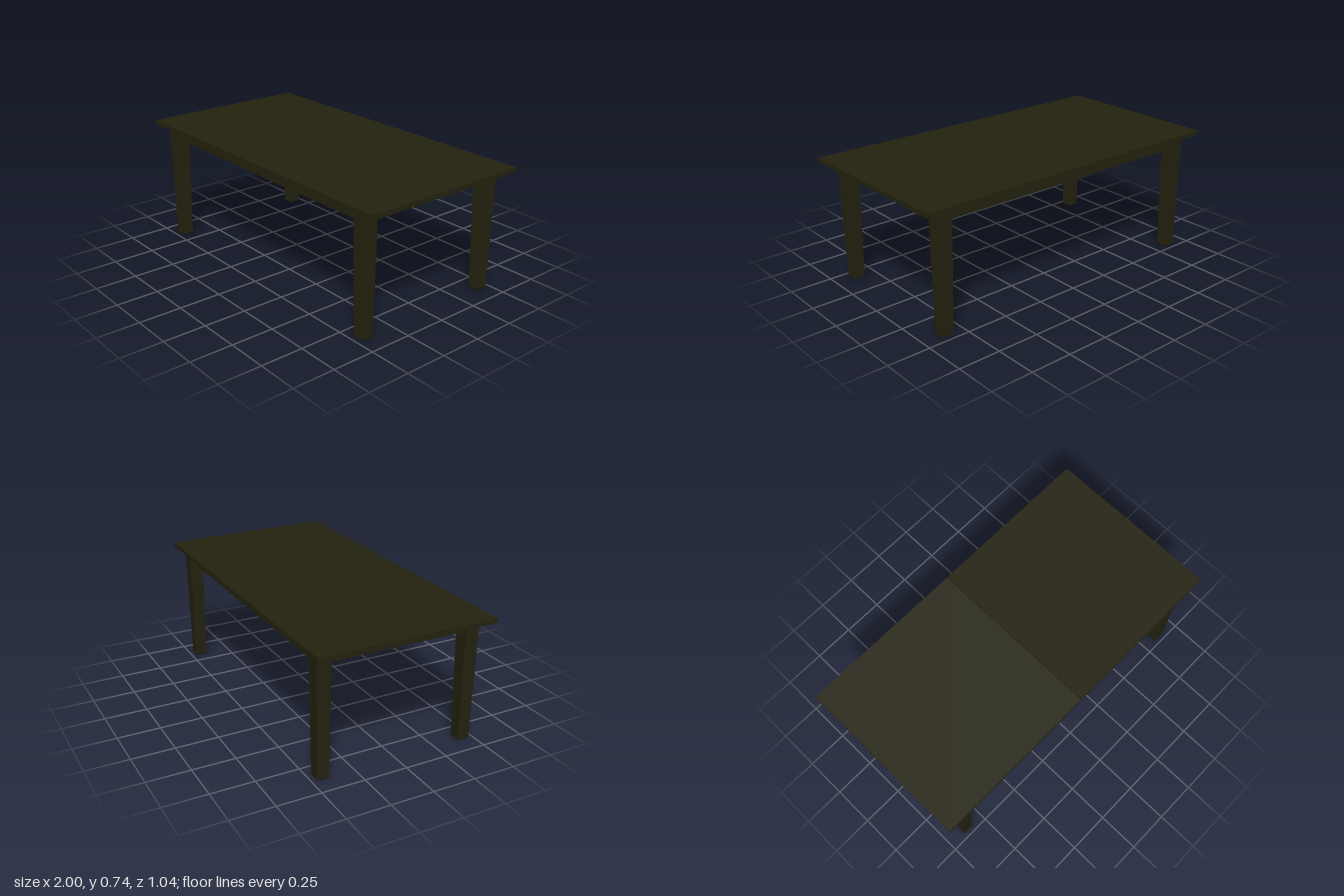
import * as THREE from 'three';

export function createModel() {
  const model = new THREE.Group();
  const wood = new THREE.MeshStandardMaterial({ color: 0x24220f });
  wood.name = 'darkWood';

  const add = (name, geometry, x, y, z) => {
    const mesh = new THREE.Mesh(geometry, wood);
    mesh.name = name;
    mesh.position.set(x, y, z);
    model.add(mesh);
    return mesh;
  };
  const box = (name, w, h, d, x, y, z) => add(name, new THREE.BoxGeometry(w, h, d), x, y, z);

  // Square leg narrowing to the floor, with a small chamfer at the foot
  const legGeometry = () => {
    const rings = [[0.031, 0], [0.034, 0.005], [0.0425, 0.718]];
    const profile = [[0, 0], ...rings, [0, 0.718]].map(([r, y]) => new THREE.Vector2(r * Math.SQRT2, y));
    const g = new THREE.LatheGeometry(profile, 4).rotateY(Math.PI / 4).toNonIndexed();
    g.computeVertexNormals();
    return g;
  };

  // Slide stop: hooked block seen from the side, pointing to +x
  const stopGeometry = () => {
    const shape = new THREE.Shape();
    shape.moveTo(0, -0.04);
    shape.lineTo(0.045, -0.04);
    shape.lineTo(0.06, -0.02);
    shape.lineTo(0.062, 0);
    shape.lineTo(0, 0);
    shape.closePath();
    return new THREE.ExtrudeGeometry(shape, { depth: 0.022, bevelEnabled: false }).translate(0, 0, -0.011);
  };

  for (const s of [-1, 1]) {
    // Two top leaves with a narrow seam between them
    box('topLeaf', 0.998, 0.025, 1.044, s * 0.501, 0.7305, 0);

    // Aprons between the legs
    box('longApron', 1.66, 0.07, 0.025, 0, 0.683, s * 0.45);
    box('endApron', 0.025, 0.07, 0.8, s * 0.875, 0.683, 0);

    // Thin crossbar under each leaf
    box('crossbar', 0.018, 0.018, 0.88, s * 0.64, 0.707, 0);

    for (const t of [-1, 1]) {
      add('leg', legGeometry(), s * 0.8625, 0, t * 0.4375);

      // Slide rail running through the end apron
      const rail = add('slideRail', new THREE.CylinderGeometry(0.013, 0.013, 0.44, 12), s * 0.67, 0.69, t * 0.215);
      rail.rotation.z = Math.PI / 2;

      // Stop and rounded grip outside the end apron
      const stop = add('slideStop', stopGeometry(), s * 0.883, 0.718, t * 0.215);
      if (s < 0) stop.rotation.y = Math.PI;
      const grip = add('slideGrip', new THREE.SphereGeometry(0.025, 16, 8), s * 0.91, 0.685, t * 0.215);
      grip.scale.set(0.9, 0.36, 1);
    }
  }
  return model;
}
